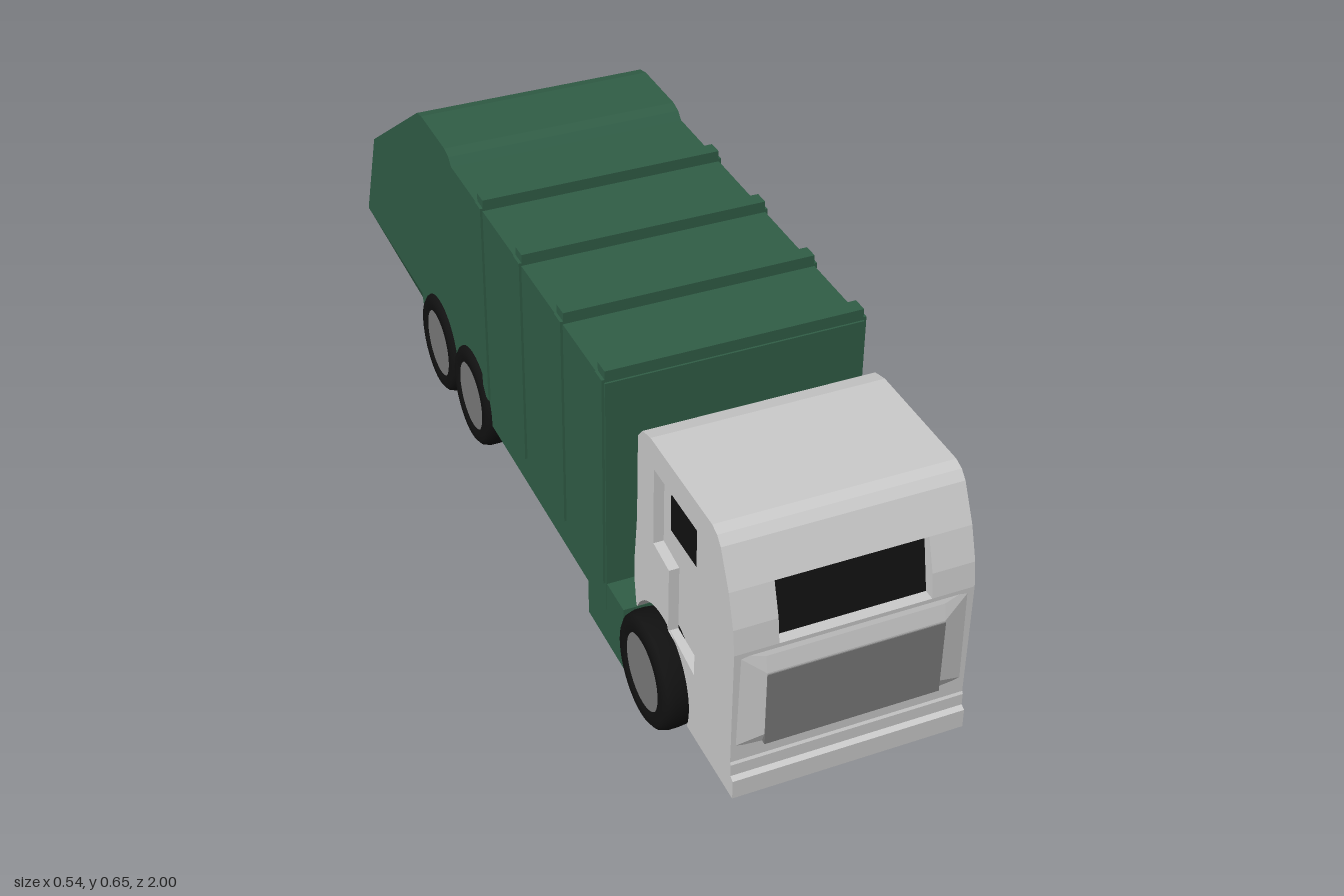
import * as THREE from 'three';
import { ConvexGeometry } from 'three/addons/geometries/ConvexGeometry.js';

const mat = (color) => new THREE.MeshStandardMaterial({ color });
const grey = mat(0xcccccc), green = mat(0x315e47), dark = mat(0x7a7a7a), black = mat(0x111111);

export function createModel() {
  const model = new THREE.Group();

  const add = (name, geometry, material, parent = model) => {
    const mesh = new THREE.Mesh(geometry, material);
    mesh.name = name;
    parent.add(mesh);
    return mesh;
  };
  const shapeOf = (pts) => new THREE.Shape(pts.map(([z, y]) => new THREE.Vector2(z, y)));
  // side profile in (z, y), extruded across the width from x0 to x1
  const slab = (name, shape, x0, x1, material) => {
    const g = new THREE.ExtrudeGeometry(shape, { depth: x1 - x0, bevelEnabled: false, curveSegments: 16 });
    g.rotateY(-Math.PI / 2).translate(x1, 0, 0);
    return add(name, g, material);
  };
  const mirrored = (name, shape, x0, x1, material) => {
    slab(name + 'Left', shape, x0, x1, material);
    slab(name + 'Right', shape, -x1, -x0, material);
  };
  const box = (name, w, [y0, y1], [z0, z1], material) =>
    add(name, new THREE.BoxGeometry(w, y1 - y0, z1 - z0)
      .translate(0, (y0 + y1) / 2, (z0 + z1) / 2), material);
  // convex block between two rectangles, given as lists of [halfWidth, y, z]
  const hull = (name, pts, material) => add(name, new ConvexGeometry(
    pts.flatMap(([x, y, z]) => [new THREE.Vector3(x, y, z), new THREE.Vector3(-x, y, z)])), material);

  // cab: outline with wheel arch, notched in the middle for the windscreen
  const cabShape = (notch) => {
    const s = shapeOf([
      [1, 0.07], [1, 0.11], [0.99, 0.115], [0.99, 0.14], [0.987, 0.145], [0.988, 0.39],
      ...(notch ? [[0.962, 0.39], [0.938, 0.505]] : [[0.981, 0.44]]),
      [0.96, 0.505], [0.925, 0.575], [0.91, 0.59], [0.89, 0.597], [0.635, 0.597],
      [0.6, 0.588], [0.58, 0.565], [0.577, 0.38], [0.565, 0.27], [0.565, 0.23], [0.576, 0.165],
    ]);
    s.absarc(0.69, 0.113, 0.125, 2.71, -0.351, true);
    return s;
  };
  slab('cabCentre', cabShape(true), -0.145, 0.145, grey);
  mirrored('cabSide', cabShape(false), 0.145, 0.208, grey);
  const skin = cabShape(false);
  skin.holes.push(new THREE.Path([
    [0.833, 0.215], [0.833, 0.54], [0.651, 0.54], [0.651, 0.375], [0.72, 0.365], [0.72, 0.225],
  ].map(([z, y]) => new THREE.Vector2(z, y))));
  mirrored('cabDoorSurround', skin, 0.208, 0.228, grey);
  mirrored('sideWindow', shapeOf([[0.825, 0.43], [0.825, 0.53], [0.69, 0.53], [0.69, 0.43]]), 0.206, 0.212, black);
  slab('windscreen', shapeOf([[0.966, 0.39], [0.942, 0.505], [0.93, 0.505], [0.95, 0.39]]), -0.145, 0.145, black);

  // raised front panel with grille
  hull('frontPanel', [
    [0.228, 0.39, 0.985], [0.228, 0.178, 0.985], [0.17, 0.373, 0.991],
    [0.17, 0.34, 0.998], [0.17, 0.2, 0.998], [0.17, 0.178, 0.99],
  ], grey);
  box('grille', 0.34, [0.178, 0.337], [0.96, 1], dark);

  // link between cab and body
  slab('neck', shapeOf([[0.57, 0.4], [0.49, 0.4], [0.49, 0.24], [0.525, 0.24], [0.55, 0.305], [0.57, 0.305]]),
    -0.07, 0.07, dark);

  // refuse body: solid sides, middle recessed at the tail for the dark panel
  const bodyShape = (recess) => shapeOf([
    [0.5, 0.105], [0.5, 0.63], [-0.33, 0.63], [-0.345, 0.645], [-0.37, 0.652], [-0.52, 0.652],
    [-0.55, 0.645],
    ...(recess
      ? [[-0.735, 0.517], [-0.724, 0.5], [-0.888, 0.388], [-0.955, 0.232], [-0.975, 0.226]]
      : [[-0.905, 0.4]]),
    [-1, 0.165], [-0.593, 0.165], [-0.58, 0.105],
  ]);
  slab('bodyCentre', bodyShape(true), -0.228, 0.228, green);
  mirrored('bodySide', bodyShape(false), 0.228, 0.257, green);
  slab('tailPanel', shapeOf([
    [-0.729, 0.508], [-0.896, 0.394], [-0.964, 0.231], [-0.955, 0.225], [-0.88, 0.385], [-0.72, 0.495],
  ]), -0.228, 0.228, black);
  hull('hopperBottom', [
    [0.257, 0.165, -0.593], [0.257, 0.165, -1], [0.225, 0.08, -0.657], [0.225, 0.088, -0.945],
  ], green);
  box('chassisBox', 0.512, [0.025, 0.17], [0.405, 0.58], green);

  // ribs around the body
  for (const z of [0.48, 0.28, 0.064, -0.155]) {
    box('ribTop', 0.512, [0.6, 0.654], [z - 0.016, z + 0.016], green);
    box('ribSides', 0.524, [0.17, 0.636], [z - 0.016, z + 0.016], green);
  }

  // wheels: lathed tyre with a flat hub, axis along x
  const tyre = new THREE.LatheGeometry([
    [0, -0.041], [0.078, -0.041], [0.092, -0.039], [0.104, -0.031], [0.111, -0.018], [0.113, 0],
    [0.113, 0.02], [0.109, 0.034], [0.1, 0.041], [0.077, 0.041], [0.075, 0.034], [0, 0.034],
  ].map(([r, h]) => new THREE.Vector2(r, h)), 40);
  const hub = new THREE.CylinderGeometry(0.075, 0.075, 0.01, 40).translate(0, 0.032, 0);
  for (const z of [0.69, -0.245, -0.463]) {
    for (const side of [1, -1]) {
      const wheel = new THREE.Group();
      wheel.name = 'wheel';
      add('tyre', tyre, black, wheel);
      add('hub', hub, dark, wheel);
      wheel.rotation.z = -side * Math.PI / 2;
      wheel.position.set(side * 0.227, 0.113, z);
      model.add(wheel);
    }
  }
  return model;
}
